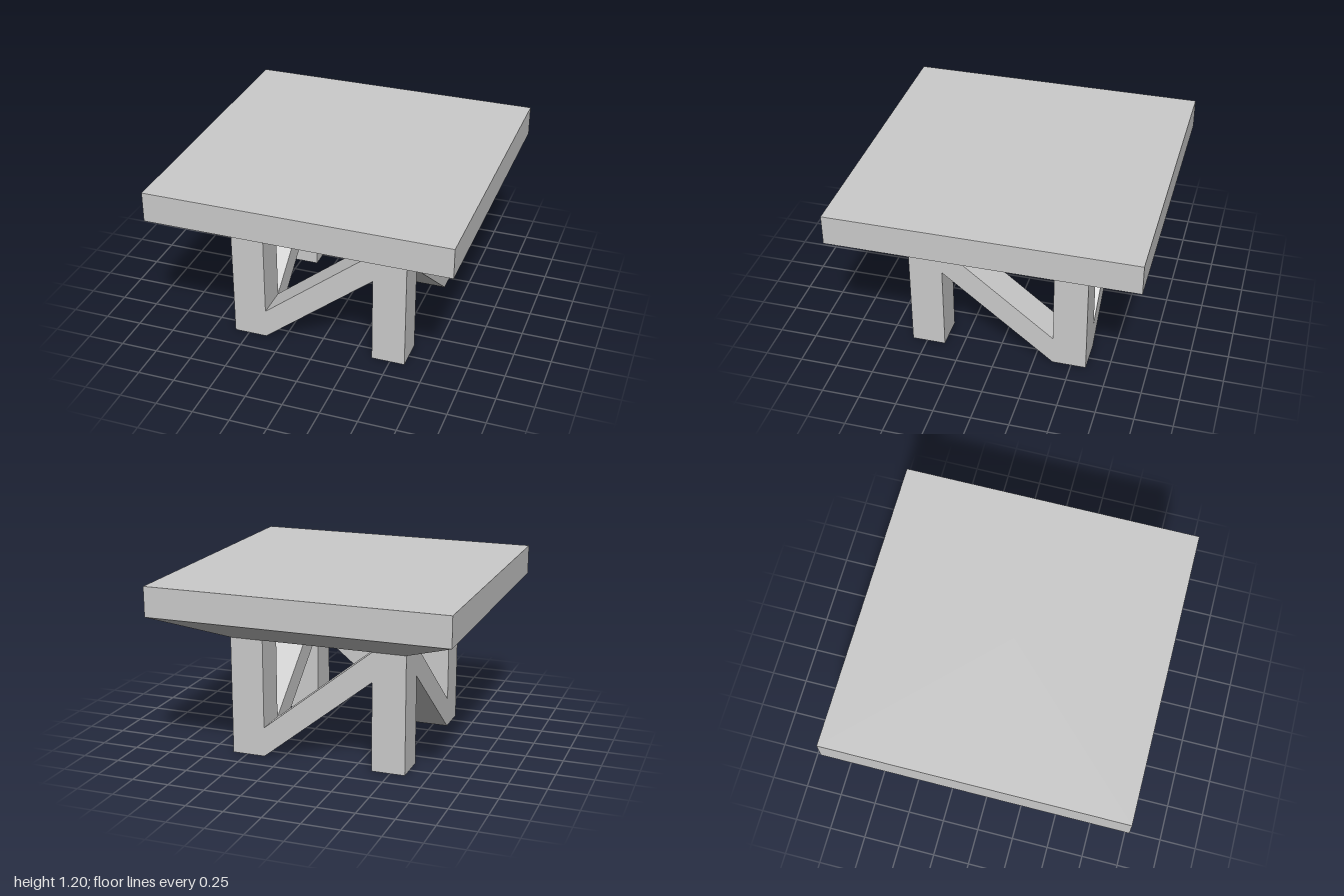
import * as THREE from 'three';

const material = new THREE.MeshStandardMaterial({ color: 0xcccccc, flatShading: true, side: THREE.DoubleSide });

const OUT = 0.6;    // outer face of legs and braces
const IN = 0.375;   // inner face of legs and braces
const WIDTH = OUT - IN;
const LEG_H = 0.8;

function addMesh(parent, name, geometry) {
  const mesh = new THREE.Mesh(geometry, material);
  mesh.name = name;
  parent.add(mesh);
  return mesh;
}

// Square solid of revolution from [half width, height] pairs
function squareLathe(profile) {
  const points = profile.map(([half, y]) => new THREE.Vector2(half * Math.SQRT2, y));
  const geometry = new THREE.LatheGeometry(points, 4, Math.PI / 4).toNonIndexed();
  geometry.computeVertexNormals();
  return geometry;
}

// Slanted brace between two legs; dir = 1 rises towards +x
function braceGeometry(dir) {
  const x = IN * dir;
  const shape = new THREE.Shape([
    new THREE.Vector2(-x, 0),
    new THREE.Vector2(x, 0.6),
    new THREE.Vector2(x, LEG_H),
    new THREE.Vector2(-x, 0.2),
  ]);
  return new THREE.ExtrudeGeometry(shape, { depth: WIDTH, bevelEnabled: false }).translate(0, 0, IN);
}

export function createModel() {
  const model = new THREE.Group();
  model.name = 'table';

  // Thick square top with a tapered underside
  addMesh(model, 'tabletop', squareLathe([[0, 0.8], [OUT, 0.8], [1, 1], [1, 1.2], [0, 1.2]]));

  // Hollow square legs, open at the foot
  const legGeometry = squareLathe([[WIDTH / 2, 0], [WIDTH / 2, LEG_H]]);
  const c = (OUT + IN) / 2;
  for (const sx of [-1, 1]) {
    for (const sz of [-1, 1]) {
      const name = (sz > 0 ? 'front' : 'back') + (sx > 0 ? 'Left' : 'Right') + 'Leg';
      addMesh(model, name, legGeometry).position.set(sx * c, 0, sz * c);
    }
  }

  // One brace per side, alternating in direction around the table
  ['frontBrace', 'leftBrace', 'backBrace', 'rightBrace'].forEach((name, i) => {
    addMesh(model, name, braceGeometry(i % 2 ? -1 : 1)).rotation.y = (i * Math.PI) / 2;
  });

  return model;
}
